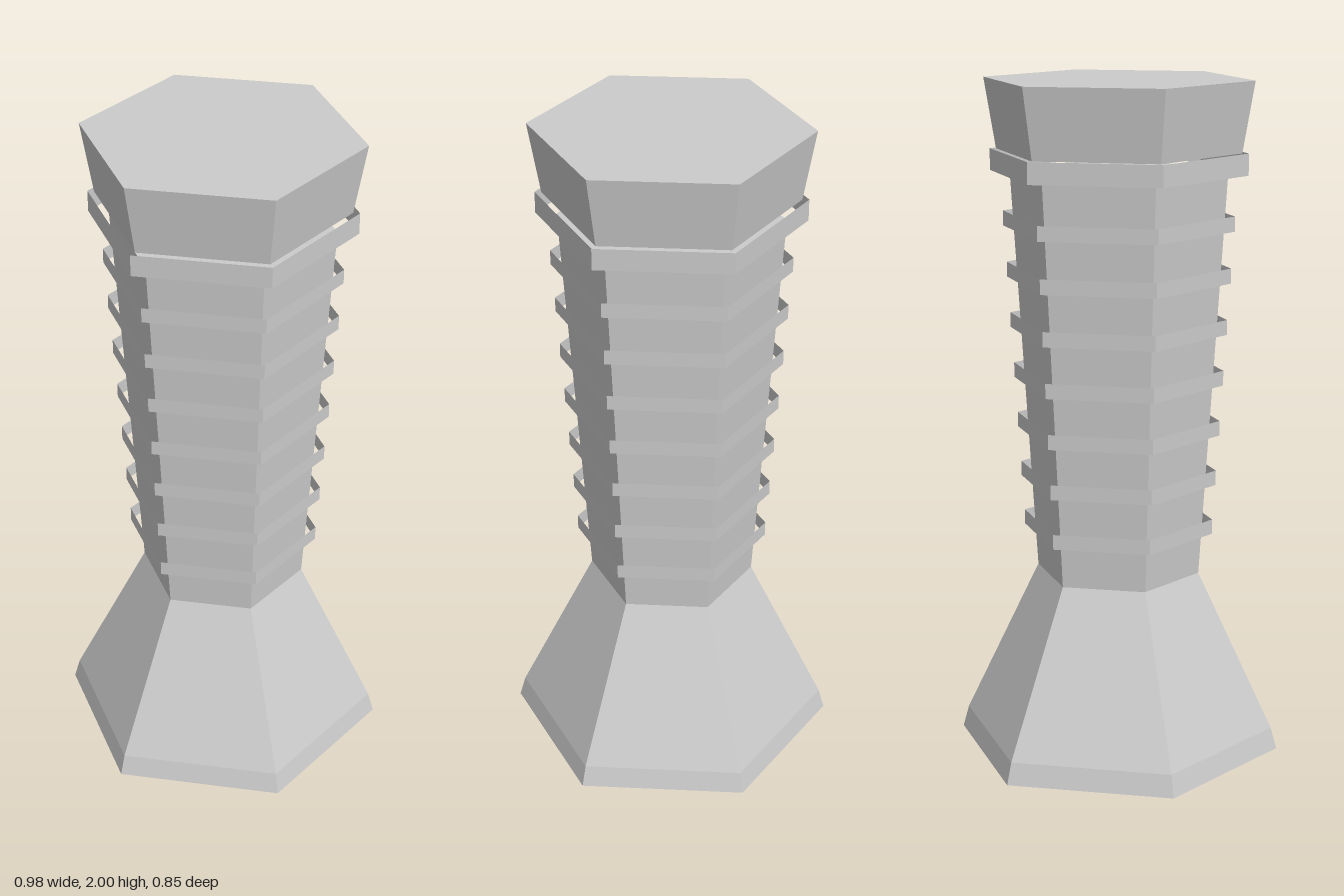
import * as THREE from 'three';

const stone = new THREE.MeshStandardMaterial({ color: 0xcccccc, flatShading: true, side: THREE.DoubleSide });
stone.name = 'light grey';

// Six-sided tapered section with corners on the x axis
function hexSection(name, y0, y1, r0, r1, open = true) {
  const geo = new THREE.CylinderGeometry(r1, r0, y1 - y0, 6, 1, open, Math.PI / 2);
  const mesh = new THREE.Mesh(geo, stone);
  mesh.position.y = (y0 + y1) / 2;
  mesh.name = name;
  return mesh;
}

// Horizontal hexagon closing a section, facing up or down
function hexPlate(name, y, r, up) {
  const mesh = new THREE.Mesh(new THREE.CircleGeometry(r, 6), stone);
  mesh.rotation.x = up ? -Math.PI / 2 : Math.PI / 2;
  mesh.position.y = y;
  mesh.name = name;
  return mesh;
}

export function createModel() {
  const column = new THREE.Group();
  column.name = 'hexagonalColumn';

  // Flared foot: an open skirt below a recessed underside
  column.add(
    hexSection('footSkirt', 0, 0.065, 0.489, 0.471),
    hexPlate('footUnderside', 0.065, 0.471, false),
    hexSection('footFlare', 0.065, 0.542, 0.471, 0.245)
  );

  // Shaft, widening upwards to a closed top
  column.add(
    hexSection('shaft', 0.542, 1.73, 0.245, 0.32),
    hexPlate('shaftTop', 1.73, 0.32, true)
  );

  // Seven open bands standing clear of the shaft
  for (let i = 0; i < 7; i++) {
    const y = 0.688 + i * 0.1508;
    const r = 0.285 + i * 0.0094;
    column.add(hexSection('shaftBand', y - 0.022, y + 0.022, r, r));
  }

  // Open collar and closed capital
  column.add(
    hexSection('collar', 1.732, 1.795, 0.379, 0.379),
    hexSection('capital', 1.795, 2, 0.36, 0.395, false)
  );
  return column;
}
